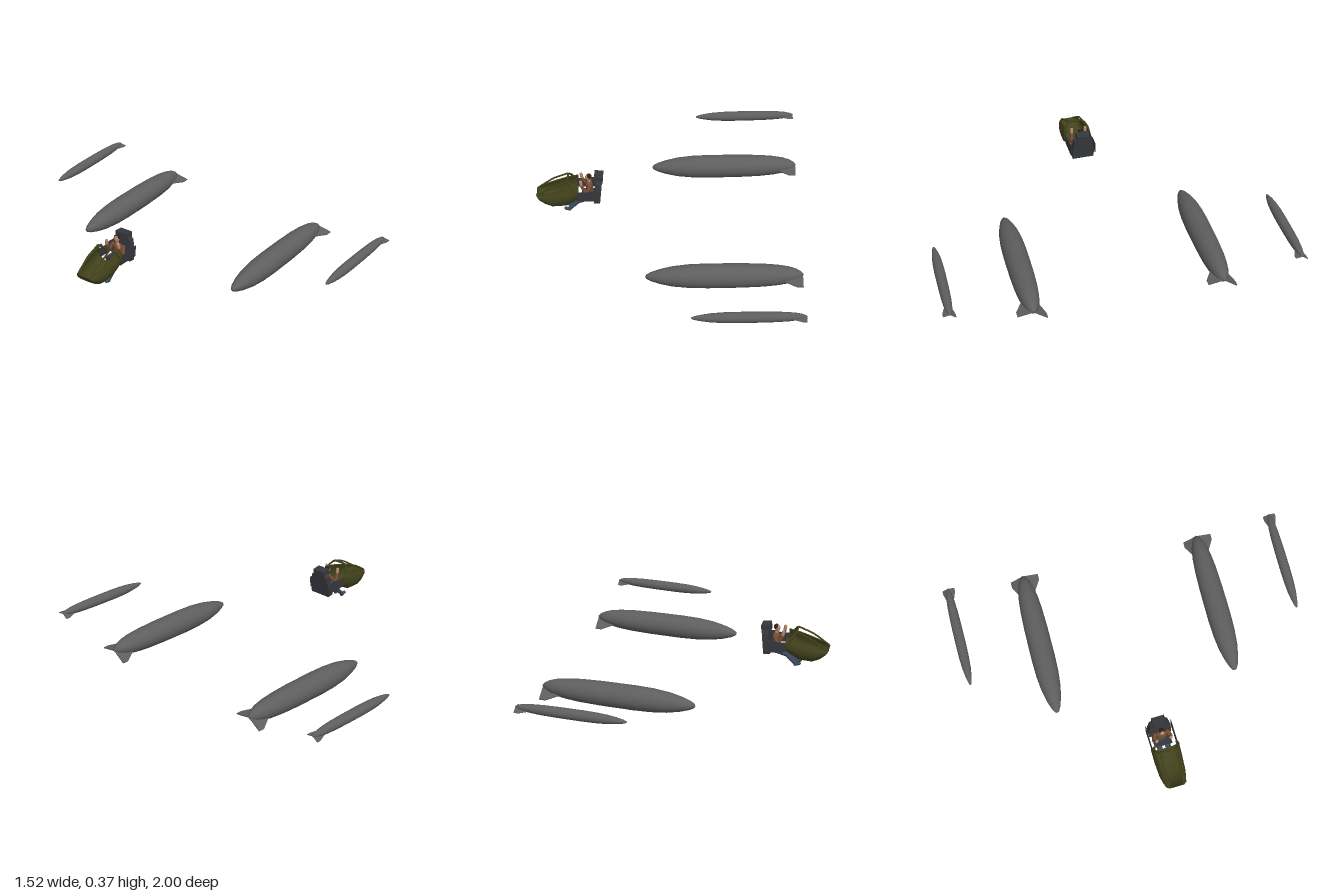
import * as THREE from 'three';

const mat = (name, color, side = THREE.FrontSide) => {
  const m = new THREE.MeshStandardMaterial({ color, side });
  m.name = name;
  return m;
};
const V = (x, y, z) => new THREE.Vector3(x, y, z);

export function createModel() {
  const model = new THREE.Group();
  model.name = 'cockpitAndTanks';
  const grey = mat('tank grey', 0x5e5e5e);
  const olive = mat('olive paint', 0x42421c, THREE.DoubleSide);
  const dark = mat('seat charcoal', 0x36373b, THREE.DoubleSide);
  const denim = mat('denim blue', 0x3c4a5e);
  const brown = mat('jacket brown', 0x744c33);
  const skin = mat('skin', 0xb88a6c);
  const hair = mat('dark hair', 0x2a211c);

  const add = (parent, name, geo, material) => {
    const m = new THREE.Mesh(geo, material);
    m.name = name;
    parent.add(m);
    return m;
  };

  // Drop tanks: lathed hull along +x with two tail fins
  const profile = [[0, 0], [0.006, 0.012], [0.03, 0.025], [0.08, 0.041], [0.15, 0.056], [0.24, 0.065],
    [0.34, 0.068], [0.52, 0.067], [0.64, 0.063], [0.72, 0.056], [0.78, 0.046], [0.82, 0.033], [0.845, 0.018], [0.86, 0]];
  const tankGeo = new THREE.LatheGeometry(profile.map(([x, r]) => new THREE.Vector2(r, x)), 24);
  tankGeo.rotateZ(-Math.PI / 2);
  const finShape = new THREE.Shape([[0.745, 0.03], [0.755, 0.052], [0.82, 0.09], [0.855, 0.09], [0.855, 0.005], [0.8, 0.005]]
    .map(([x, y]) => new THREE.Vector2(x, y)));
  const finGeo = new THREE.ExtrudeGeometry(finShape, { depth: 0.006, bevelEnabled: false });
  finGeo.translate(0, 0, -0.003);

  function tank(name, nose, tail, radiusScale) {
    const g = new THREE.Group();
    g.name = name;
    add(g, 'tankHull', tankGeo, grey);
    for (const deg of [190, 325]) {
      add(g, 'tankFin', finGeo, grey).rotation.x = THREE.MathUtils.degToRad(deg - 90);
    }
    const d = tail.clone().sub(nose);
    g.scale.set(d.length() / 0.86, radiusScale, radiusScale);
    g.quaternion.setFromUnitVectors(V(1, 0, 0), d.normalize());
    g.position.copy(nose);
    model.add(g);
  }
  tank('largeTankLeft', V(-0.15, 0.056, 0.494), V(0.71, 0.088, 0.522), 1);
  tank('largeTankRight', V(-0.113, 0.07, -0.552), V(0.745, 0.102, -0.525), 1);
  tank('smallTankLeft', V(0.09, 0.132, 0.94), V(0.692, 0.158, 0.962), 0.43);
  tank('smallTankRight', V(0.155, 0.157, -0.98), V(0.757, 0.181, -0.963), 0.43);

  // Cockpit assembly shares one centre line
  const pod = new THREE.Group();
  pod.name = 'cockpit';
  pod.position.z = -0.044;
  model.add(pod);

  // Nose tub: open-topped loft of [x, top, bottom, half width]
  const stations = [[-0.763, 0.248, 0.242, 0.042], [-0.75, 0.253, 0.218, 0.057], [-0.715, 0.265, 0.19, 0.067],
    [-0.675, 0.278, 0.173, 0.074], [-0.6, 0.302, 0.18, 0.079], [-0.53, 0.318, 0.226, 0.08]];
  const half = [[0.78, 1], [0.95, 0.75], [1, 0.5], [0.9, 0.22], [0.62, 0.05], [0, 0]];
  const section = [...half, ...half.slice(0, -1).reverse().map(([z, y]) => [-z, y])];
  const pos = [], idx = [], n = section.length;
  stations.forEach(([x, top, bottom, w], s) => {
    for (const [z, y] of section) pos.push(x, bottom + (top - bottom) * y, z * w);
    if (s === 0) return;
    for (let i = 0; i < n - 1; i++) {
      const a = (s - 1) * n + i, b = s * n + i;
      idx.push(a, a + 1, b, a + 1, b + 1, b);
    }
  });
  for (let i = 1; i < n - 1; i++) idx.push(0, i + 1, i);
  const tub = new THREE.BufferGeometry();
  tub.setAttribute('position', new THREE.Float32BufferAttribute(pos, 3));
  tub.setIndex(idx);
  tub.computeVertexNormals();
  add(pod, 'noseTub', tub, olive);

  // Windscreen frame bars, coaming rails and rear hoop
  const bar = (name, pts, r) => add(pod, name,
    new THREE.TubeGeometry(new THREE.CatmullRomCurve3(pts, false, 'catmullrom', 0.3), 16, r, 6), olive);
  for (const s of [1, -1]) {
    bar('windscreenBar', [V(-0.756, 0.251, s * 0.04), V(-0.67, 0.308, s * 0.046), V(-0.585, 0.345, s * 0.042)], 0.005);
    bar('coamingRail', stations.map(([x, top, , w]) => V(x, top, s * w * 0.78)), 0.004);
  }
  bar('canopyHoop', [V(-0.535, 0.268, 0.076), V(-0.56, 0.312, 0.068), V(-0.583, 0.344, 0.042), V(-0.585, 0.347, 0),
    V(-0.583, 0.344, -0.042), V(-0.56, 0.312, -0.068), V(-0.535, 0.268, -0.076)], 0.006);

  // Ejection seat: tapered leaning back, headrest, cushion and thin side panels
  const seat = new THREE.Group();
  seat.name = 'seat';
  pod.add(seat);
  const back = new THREE.Shape([[-0.062, 0], [0.062, 0], [0.066, 0.05], [0.052, 0.12], [0.036, 0.135], [-0.036, 0.135],
    [-0.052, 0.12], [-0.066, 0.05]].map(([x, y]) => new THREE.Vector2(x, y)));
  const backGeo = new THREE.ExtrudeGeometry(back, { depth: 0.036, bevelEnabled: false });
  backGeo.rotateY(Math.PI / 2);
  const backMesh = add(seat, 'seatBack', backGeo, dark);
  backMesh.position.set(-0.441, 0.21, 0);
  backMesh.rotation.z = -0.1;
  const head = add(seat, 'headrest', new THREE.BoxGeometry(0.05, 0.042, 0.074), dark);
  head.position.set(-0.412, 0.346, 0);
  head.rotation.z = -0.1;
  add(seat, 'seatCushion', new THREE.BoxGeometry(0.09, 0.022, 0.1), dark).position.set(-0.465, 0.226, 0);
  const side = new THREE.Shape([[-0.537, 0.235], [-0.405, 0.232], [-0.4, 0.295], [-0.45, 0.298], [-0.49, 0.288], [-0.537, 0.292]]
    .map(([x, y]) => new THREE.Vector2(x, y)));
  for (const s of [1, -1]) {
    add(seat, 'seatSidePanel', new THREE.ExtrudeGeometry(side, { depth: 0.003, bevelEnabled: false }), dark)
      .position.z = s * 0.072 - 0.0015;
  }

  // Seated pilot
  const pilot = new THREE.Group();
  pilot.name = 'pilot';
  pod.add(pilot);
  const limb = (name, a, b, r, material) => {
    const d = b.clone().sub(a);
    const m = add(pilot, name, new THREE.CapsuleGeometry(r, d.length(), 5, 10), material);
    m.position.copy(a).addScaledVector(d, 0.5);
    m.quaternion.setFromUnitVectors(V(0, 1, 0), d.normalize());
    return m;
  };
  const ball = (name, p, sx, sy, sz, material) => {
    const m = add(pilot, name, new THREE.SphereGeometry(1, 14, 10), material);
    m.position.copy(p);
    m.scale.set(sx, sy, sz);
  };
  limb('torso', V(-0.462, 0.25, 0), V(-0.466, 0.298, 0), 0.02, brown).scale.z = 1.6;
  limb('neck', V(-0.467, 0.312, 0), V(-0.469, 0.33, 0), 0.009, skin);
  ball('head', V(-0.472, 0.346, 0), 0.016, 0.02, 0.014, skin);
  ball('hair', V(-0.467, 0.352, 0), 0.016, 0.016, 0.0152, hair);
  ball('hips', V(-0.462, 0.232, 0), 0.024, 0.02, 0.034, denim);
  for (const s of [1, -1]) {
    limb('thigh', V(-0.462, 0.222, s * 0.02), V(-0.522, 0.205, s * 0.024), 0.0155, denim);
    limb('shin', V(-0.526, 0.202, s * 0.024), V(-0.578, 0.152, s * 0.023), 0.012, denim);
    limb('foot', V(-0.578, 0.143, s * 0.023), V(-0.602, 0.15, s * 0.023), 0.009, denim);
    limb('upperArm', V(-0.463, 0.302, s * 0.036), V(-0.482, 0.268, s * 0.048), 0.011, brown);
    limb('forearm', V(-0.482, 0.268, s * 0.048), V(-0.507, 0.312, s * 0.042), 0.009, brown);
    limb('hand', V(-0.509, 0.322, s * 0.041), V(-0.512, 0.341, s * 0.04), 0.009, skin);
  }
  return model;
}
